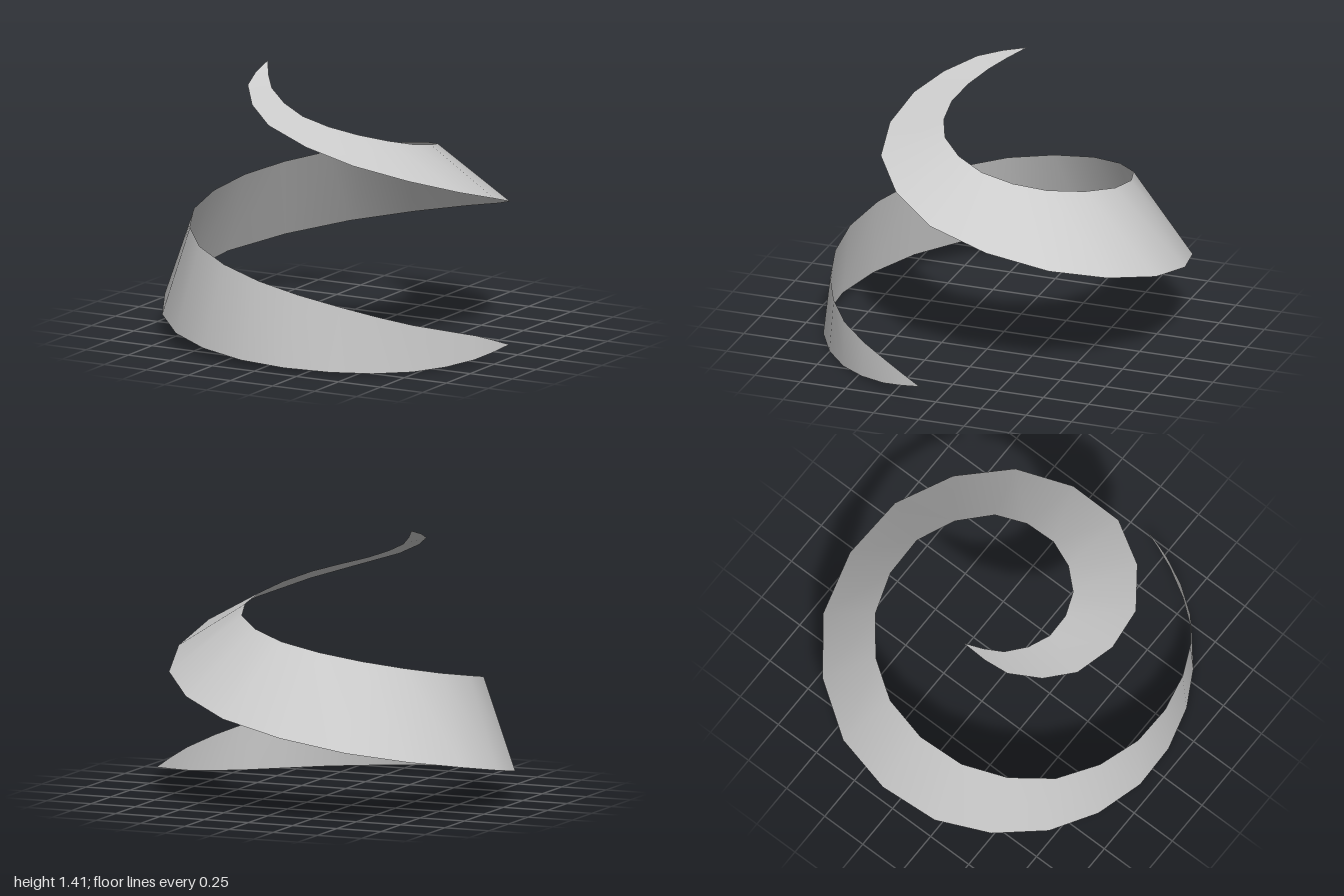
import * as THREE from 'three';

const SEGMENTS = 30;

// Smooth curve through flat x, y, z triples
function edgeCurve(values) {
  const points = [];
  for (let i = 0; i < values.length; i += 3) {
    points.push(new THREE.Vector3(values[i], values[i + 1], values[i + 2]));
  }
  return new THREE.CatmullRomCurve3(points);
}

// Ribbon strip spanned between a lower and an upper edge that meet at both tips
function ribbonGeometry(lower, upper) {
  const positions = [];
  const indices = [];
  for (let i = 0; i <= SEGMENTS; i++) {
    const t = i / SEGMENTS;
    positions.push(...lower.getPoint(t).toArray(), ...upper.getPoint(t).toArray());
    if (i === SEGMENTS) break;
    const a = 2 * i;
    if (i > 0) indices.push(a, a + 1, a + 3);
    if (i < SEGMENTS - 1) indices.push(a, a + 3, a + 2);
  }
  const geometry = new THREE.BufferGeometry();
  geometry.setAttribute('position', new THREE.Float32BufferAttribute(positions, 3));
  geometry.setIndex(indices);
  geometry.computeVertexNormals();
  return geometry;
}

export function createModel() {
  const group = new THREE.Group();
  group.name = 'spiralRibbon';

  // Outer, lower edge winding up from the ground
  const lower = edgeCurve([
    1, 0.075, 0.09, 0.92, 0.03, 0.32, 0.725, 0.003, 0.615, 0.37, 0.01, 0.86,
    -0.115, 0.035, 0.935, -0.62, 0.08, 0.73, -0.96, 0.155, 0.245, -0.935, 0.26, -0.375,
    -0.485, 0.375, -0.86, 0.185, 0.52, -0.91, 0.67, 0.68, -0.5, 0.725, 0.86, 0.135,
    0.335, 1.04, 0.555, -0.165, 1.2, 0.56, -0.43, 1.335, 0.31, -0.46, 1.41, 0.045,
  ]);

  // Inner, upper edge sharing both tips
  const upper = edgeCurve([
    1, 0.075, 0.09, 0.92, 0.155, 0.3, 0.72, 0.25, 0.61, 0.4, 0.35, 0.81,
    -0.05, 0.45, 0.87, -0.505, 0.545, 0.685, -0.77, 0.635, 0.27, -0.745, 0.72, -0.215,
    -0.44, 0.81, -0.55, -0.015, 0.895, -0.61, 0.32, 0.975, -0.36, 0.37, 1.045, -0.015,
    0.19, 1.13, 0.255, -0.095, 1.21, 0.325, -0.34, 1.31, 0.215, -0.46, 1.41, 0.045,
  ]);

  const material = new THREE.MeshStandardMaterial({ color: 0xcccccc, side: THREE.DoubleSide });
  const ribbon = new THREE.Mesh(ribbonGeometry(lower, upper), material);
  ribbon.name = 'ribbon';
  group.add(ribbon);
  return group;
}
